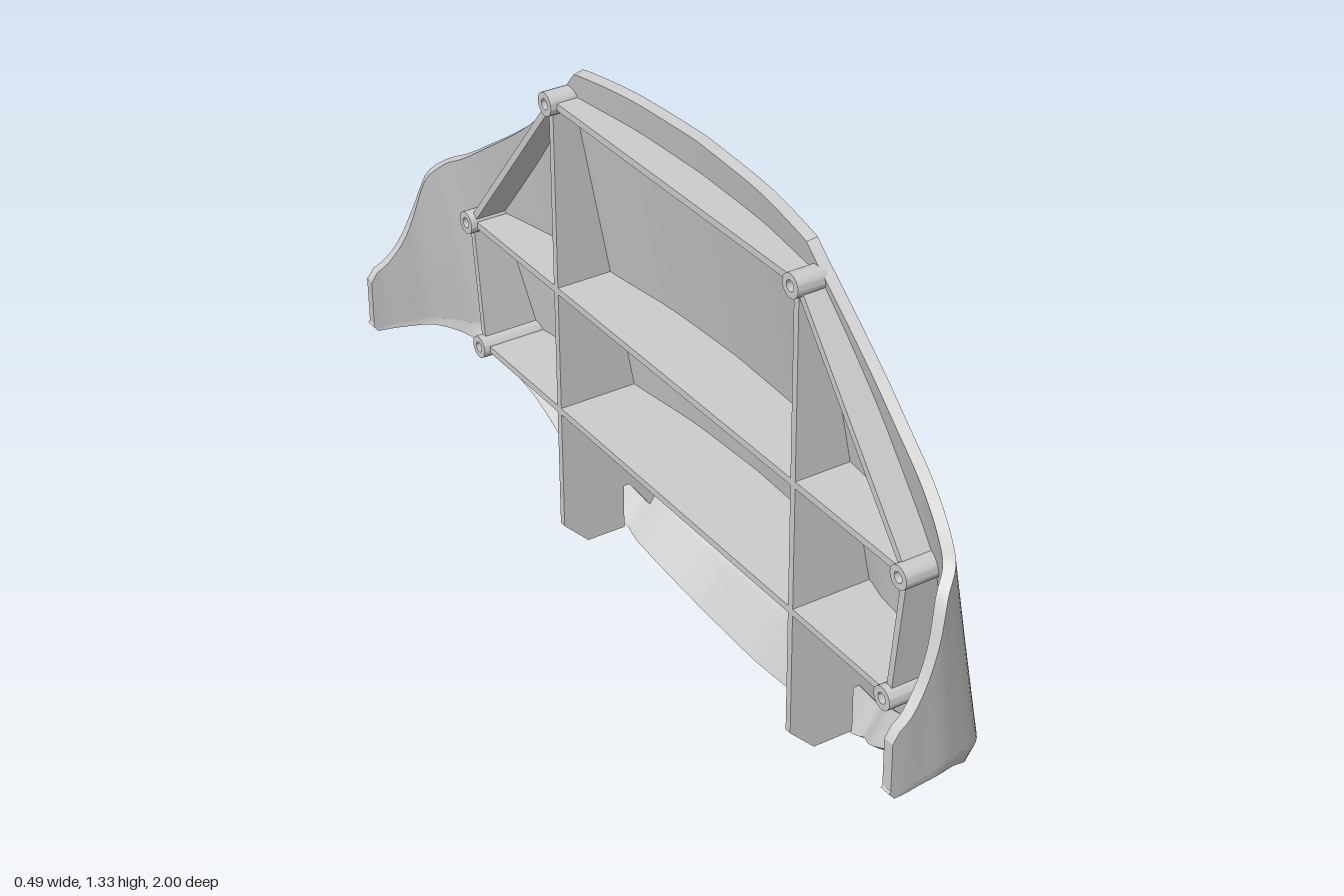
import * as THREE from 'three';
import { toCreasedNormals } from 'three/addons/utils/BufferGeometryUtils.js';

const material = new THREE.MeshStandardMaterial({ color: 0xcccccc });
const THICK = 0.024, SLOPE = 0.187, BACK = -0.075, HOLE = 0.018;

// Half cross-section, centre to wing tip:
// z, x at mid height, lean factor, top y, bottom y, height of bottom bevel
const COLUMNS = [
  [0, 0.16, 1, 1.33, 0, 0.12],
  [0.2, 0.153, 1, 1.325, 0.02, 0.115],
  [0.41, 0.13, 1, 1.31, 0.085, 0.11],
  [0.44, 0.127, 1, 1.28, 0.096, 0.105],
  [0.5, 0.122, 1, 1.22, 0.122, 0.085],
  [0.6, 0.11, 1, 1.125, 0.175, 0.07],
  [0.7, 0.09, 1, 1.045, 0.24, 0.06],
  [0.8, 0.065, 1, 0.975, 0.315, 0.05],
  [0.88, 0.03, 0.95, 0.92, 0.385, 0.045],
  [0.93, -0.01, 0.8, 0.892, 0.425, 0.03],
  [0.957, -0.06, 0.6, 0.86, 0.455, 0.02],
  [0.978, -0.11, 0.45, 0.765, 0.47, 0.015],
  [0.988, -0.16, 0.25, 0.685, 0.476, 0.01],
  [0.996, -0.2, 0.1, 0.645, 0.479, 0.01],
  [0.999, -0.225, 0, 0.632, 0.482, 0.008],
  [1, -0.24, 0, 0.61, 0.498, 0.005],
];
const ARC = [0];
for (let i = 1; i < COLUMNS.length; i++) {
  const [a, b] = [COLUMNS[i - 1], COLUMNS[i]];
  ARC.push(ARC[i - 1] + Math.hypot(b[0] - a[0], b[1] - a[1]));
}
const END = ARC[ARC.length - 1];

// Monotone cubic interpolation of one value of the cross-section table
function sample(k, u) {
  const s = Math.min(Math.abs(u), END);
  let i = 0;
  while (i < ARC.length - 2 && s > ARC[i + 1]) i++;
  const secant = (n) => (COLUMNS[n + 1][k] - COLUMNS[n][k]) / (ARC[n + 1] - ARC[n]);
  const tangent = (n) => {
    if (n === 0) return 0;
    if (n === ARC.length - 1) return secant(n - 1);
    const [p, q] = [secant(n - 1), secant(n)];
    return p * q <= 0 ? 0 : (2 * p * q) / (p + q);
  };
  const h = ARC[i + 1] - ARC[i], t = (s - ARC[i]) / h;
  const t2 = t * t, t3 = t2 * t;
  return (2 * t3 - 3 * t2 + 1) * COLUMNS[i][k] + (3 * t2 - 2 * t3) * COLUMNS[i + 1][k]
    + h * ((t3 - 2 * t2 + t) * tangent(i) + (t3 - t2) * tangent(i + 1));
}

// Point of the outer skin at arc position u and height y
function skinPoint(u, y) {
  const z = sample(0, u);
  const step = THREE.MathUtils.smoothstep;
  const recess = 0.03 * step(z, 0.45, 0.52) * (1 - step(z, 0.55, 0.82)) * (1 - step(y, 0.2, 0.7));
  const bevel = 0.85 * Math.max(0, sample(4, u) + sample(5, u) - y);
  const x = sample(1, u) + SLOPE * sample(2, u) * (0.55 - y) - recess - bevel;
  return new THREE.Vector3(x, y, z * Math.sign(u));
}

function arcAt(z) {
  let lo = 0, hi = END;
  for (let i = 0; i < 30; i++) {
    const mid = (lo + hi) / 2;
    if (sample(0, mid) < Math.abs(z)) lo = mid; else hi = mid;
  }
  return lo * Math.sign(z);
}
const skinX = (z, y) => skinPoint(arcAt(z), y).x;

// Screw positions (z, y), mirrored
const SCREWS = [[0.44, 1.24], [0.8, 0.8], [0.765, 0.5]]
  .flatMap(([z, y]) => [[z, y], [-z, y]]);

// Curved shell with thickness and screw holes
function panelGeometry() {
  const nu = 150, nv = 84, bevelRows = 10;
  const grid = [], cut = new Set();
  for (let i = 0; i <= nu; i++) {
    const u = END * (2 * i / nu - 1);
    const bottom = sample(4, u), top = sample(3, u), crease = bottom + sample(5, u);
    grid.push([]);
    for (let j = 0; j <= nv; j++) {
      const y = j < bevelRows
        ? bottom + (crease - bottom) * j / bevelRows
        : crease + (top - crease) * (j - bevelRows) / (nv - bevelRows);
      grid[i].push([u, y]);
    }
  }
  // Drop cells inside each hole and pull their corners onto its circle
  for (const [z, y] of SCREWS) {
    const u = arcAt(z), corners = new Set();
    for (let i = 0; i < nu; i++) for (let j = 0; j < nv; j++) {
      const a = grid[i][j], c = grid[i + 1][j + 1];
      if (Math.hypot((a[0] + c[0]) / 2 - u, (a[1] + c[1]) / 2 - y) > HOLE) continue;
      cut.add(i * nv + j);
      [a, grid[i + 1][j], c, grid[i][j + 1]].forEach((p) => corners.add(p));
    }
    for (const p of corners) {
      const d = Math.hypot(p[0] - u, p[1] - y) || 1;
      p[0] = u + (p[0] - u) * HOLE / d;
      p[1] = y + (p[1] - y) * HOLE / d;
    }
  }
  const e = 0.002, outer = [], inner = [];
  for (const [u, y] of grid.flat()) {
    const p = skinPoint(u, y);
    const du = skinPoint(u + e, y).sub(skinPoint(u - e, y));
    const dy = skinPoint(u, y + e).sub(skinPoint(u, y - e));
    outer.push(...p.toArray());
    inner.push(...p.addScaledVector(dy.cross(du).normalize(), -THICK).toArray());
  }
  const count = outer.length / 3, index = [];
  const id = (i, j) => i * (nv + 1) + j;
  const kept = (i, j) => i >= 0 && j >= 0 && i < nu && j < nv && !cut.has(i * nv + j);
  for (let i = 0; i < nu; i++) for (let j = 0; j < nv; j++) {
    if (!kept(i, j)) continue;
    const a = id(i, j), b = id(i + 1, j), c = id(i + 1, j + 1), d = id(i, j + 1);
    index.push(a, d, c, a, c, b);
    index.push(a + count, c + count, d + count, a + count, b + count, c + count);
    // Rim wherever the neighbouring cell is missing
    const edges = [[a, d, i - 1, j], [d, c, i, j + 1], [c, b, i + 1, j], [b, a, i, j - 1]];
    for (const [p, q, ni, nj] of edges) {
      if (!kept(ni, nj)) index.push(q, p, p + count, q, p + count, q + count);
    }
  }
  const geo = new THREE.BufferGeometry();
  geo.setAttribute('position', new THREE.Float32BufferAttribute(outer.concat(inner), 3));
  geo.setIndex(index);
  return toCreasedNormals(geo, 0.5);
}

// Straight rib between two (z, y) points, reaching from the back plane to the skin
function ribGeometry([z0, y0], [z1, y1]) {
  const length = Math.hypot(z1 - z0, y1 - y0);
  const geo = new THREE.BoxGeometry(1, 0.016, length, 1, 1, 24);
  geo.rotateX(-Math.atan2(y1 - y0, z1 - z0));
  geo.translate(0, (y0 + y1) / 2, (z0 + z1) / 2);
  const pos = geo.attributes.position;
  for (let i = 0; i < pos.count; i++) {
    const y = pos.getY(i), z = pos.getZ(i);
    pos.setX(i, pos.getX(i) < 0 ? BACK : skinX(z, y) - 0.012);
  }
  return toCreasedNormals(geo, 0.5);
}

// Upright rib with a clipped lower corner and a slot beside the skin
function uprightGeometry(z) {
  const pts = [[BACK, 1.24], [BACK, 0.2], [-0.015, 0.14], [0.08, 0.14], [0.08, 0.25], [0.095, 0.25]];
  for (let i = 0; i <= 20; i++) {
    const y = 0.165 + (1.24 - 0.165) * i / 20;
    pts.push([skinX(z, y) - 0.012, y]);
  }
  const shape = new THREE.Shape(pts.map(([x, y]) => new THREE.Vector2(x, y)));
  const geo = new THREE.ExtrudeGeometry(shape, { depth: 0.016, bevelEnabled: false });
  return geo.translate(0, 0, z - 0.008);
}

// Hollow screw post
function postGeometry([z, y]) {
  const start = -0.09, length = skinX(z, y) - 0.012 - start;
  const profile = [[0.012, 0], [0.026, 0], [0.026, length], [0.012, length], [0.012, 0]];
  const geo = new THREE.LatheGeometry(profile.map(([r, h]) => new THREE.Vector2(r, h)), 24);
  geo.rotateZ(-Math.PI / 2).translate(start, y, z);
  return toCreasedNormals(geo, 0.6);
}

export function createModel() {
  const model = new THREE.Group();
  const add = (name, geo) => {
    const mesh = new THREE.Mesh(geo, material);
    mesh.name = name;
    model.add(mesh);
  };
  add('panel', panelGeometry());
  SCREWS.forEach((p) => add('screwPost', postGeometry(p)));

  // Cross ribs
  add('topRib', ribGeometry([-0.44, 1.24], [0.44, 1.24]));
  add('middleRib', ribGeometry([-0.78, 0.8], [0.78, 0.8]));
  add('lowerRib', ribGeometry([-0.745, 0.5], [0.745, 0.5]));

  // Uprights and outer braces, mirrored
  for (const s of [-1, 1]) {
    add('uprightRib', uprightGeometry(s * 0.44));
    add('upperBrace', ribGeometry([s * 0.453, 1.224], [s * 0.787, 0.816]));
    add('sideBrace', ribGeometry([s * 0.798, 0.78], [s * 0.767, 0.52]));
  }
  return model;
}
